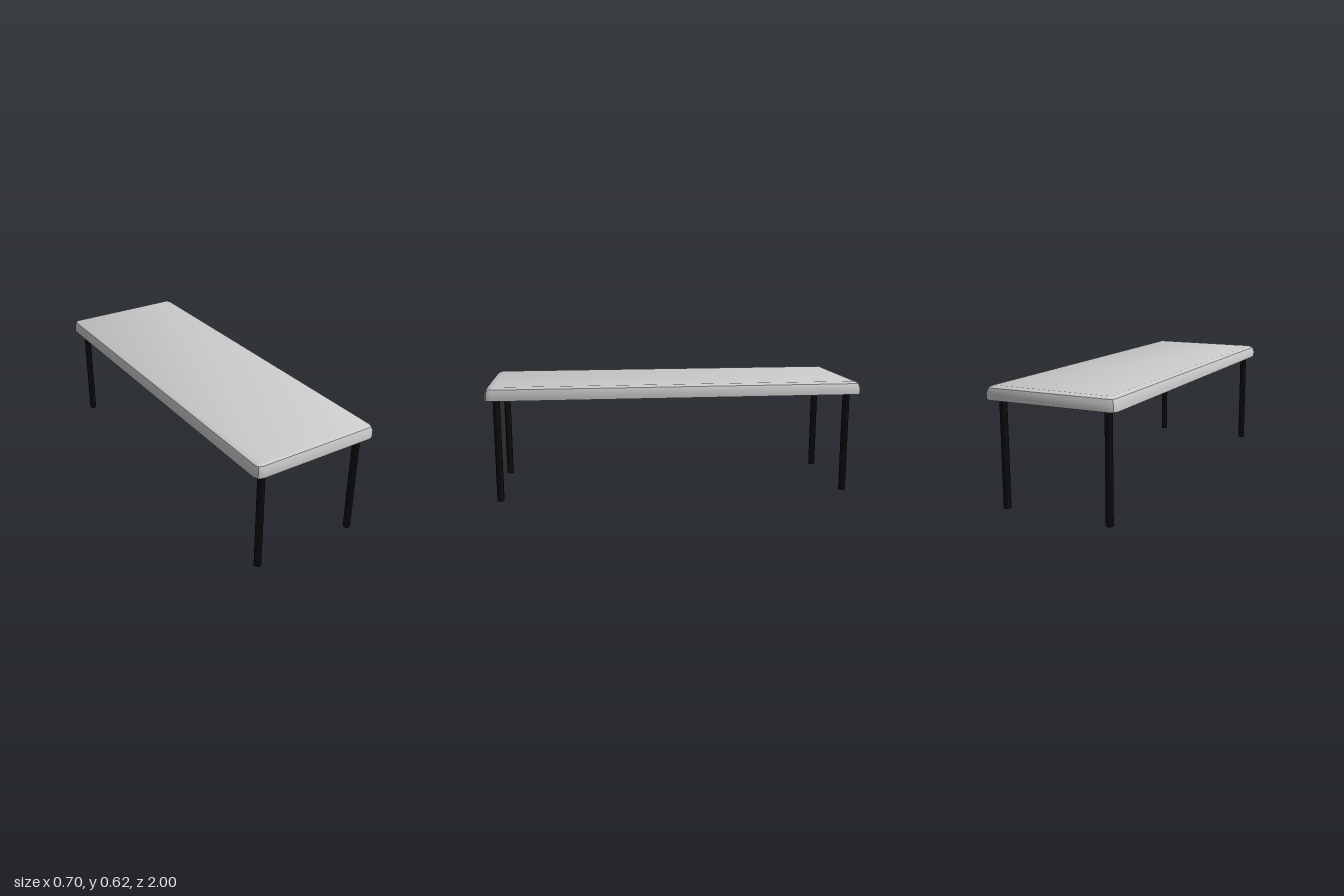
import * as THREE from 'three';
import { toCreasedNormals } from 'three/addons/utils/BufferGeometryUtils.js';
import { ConvexGeometry } from 'three/addons/geometries/ConvexGeometry.js';

const TOP_Y = 0.616, UNDERSIDE_Y = 0.548;
const HALF_WIDTH = 0.35, HALF_LENGTH = 1, ROUND = 0.035;

// Slab with two-step rounded corners and upper edges, flat underneath
function tableTopGeometry() {
  const points = [];
  const ring = (y, r) => {
    for (const sx of [-1, 1]) for (const sz of [-1, 1]) {
      for (let i = 0; i <= 2; i++) {
        const a = i * Math.PI / 4;
        points.push(new THREE.Vector3(
          sx * (HALF_WIDTH - ROUND + r * Math.cos(a)),
          y,
          sz * (HALF_LENGTH - ROUND + r * Math.sin(a))
        ));
        if (r === 0) break;
      }
    }
  };
  ring(UNDERSIDE_Y, ROUND);
  ring(TOP_Y - ROUND, ROUND);
  ring(TOP_Y - ROUND * (1 - Math.SQRT1_2), ROUND * Math.SQRT1_2);
  ring(TOP_Y, 0);
  return toCreasedNormals(new ConvexGeometry(points), 0.55);
}

export function createModel() {
  const model = new THREE.Group();
  model.name = 'table';

  const grey = new THREE.MeshStandardMaterial({ color: 0xcccccc });
  const black = new THREE.MeshStandardMaterial({ color: 0x0a0a0a });

  const top = new THREE.Mesh(tableTopGeometry(), grey);
  top.name = 'tableTop';
  model.add(top);

  // Four slim round legs, set slightly towards the right and front
  const legGeometry = new THREE.CylinderGeometry(0.0187, 0.0187, UNDERSIDE_Y, 20);
  for (const [side, x] of [['Right', -0.286], ['Left', 0.284]]) {
    for (const [end, z] of [['front', 0.943], ['back', -0.934]]) {
      const leg = new THREE.Mesh(legGeometry, black);
      leg.name = `${end}${side}Leg`;
      leg.position.set(x, UNDERSIDE_Y / 2, z);
      model.add(leg);
    }
  }
  return model;
}
